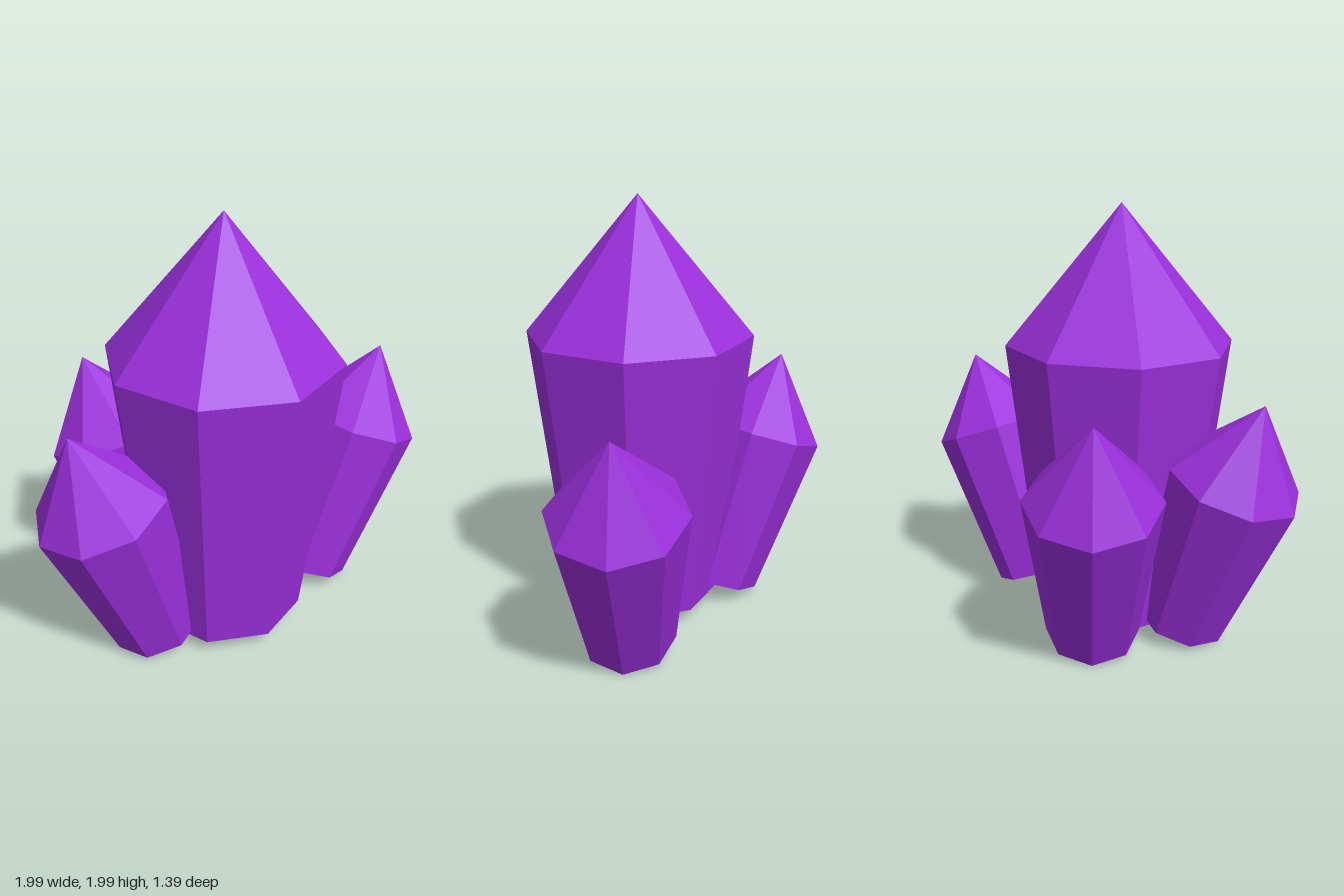
import * as THREE from 'three';

const UP = new THREE.Vector3(0, 1, 0);

// Eight-sided crystal: flat base, flaring shaft and pointed tip
function crystal(name, material, size, base, apex, roll = 0) {
  const { baseRadius, shoulderRadius, shaft, tip } = size;
  const profile = [
    new THREE.Vector2(0, 0),
    new THREE.Vector2(baseRadius, 0),
    new THREE.Vector2(shoulderRadius, shaft),
    new THREE.Vector2(0, shaft + tip),
  ];
  const geometry = new THREE.LatheGeometry(profile, 8);
  geometry.rotateY(roll);
  const mesh = new THREE.Mesh(geometry, material);
  mesh.name = name;
  mesh.position.set(...base);
  // Lean the crystal from its base towards its apex
  const axis = new THREE.Vector3(...apex).sub(mesh.position).normalize();
  mesh.quaternion.setFromUnitVectors(UP, axis);
  return mesh;
}

export function createModel() {
  const group = new THREE.Group();
  group.name = 'crystalCluster';

  const purple = new THREE.MeshStandardMaterial({ color: 0x9b30dc });
  purple.name = 'crystalPurple';
  purple.flatShading = true;

  const large = { baseRadius: 0.375, shoulderRadius: 0.53, shaft: 1.285, tip: 0.632 };
  const small = { baseRadius: 0.217, shoulderRadius: 0.306, shaft: 0.786, tip: 0.387 };

  group.add(
    // Upright centre crystal
    crystal('mainCrystal', purple, large, [-0.08, 0.083, 0.16], [-0.08, 2, 0.16]),
    // Three small crystals leaning outwards
    crystal('leftCrystal', purple, small, [0.425, 0.085, 0.16], [0.85, 1.18, 0.16]),
    crystal('rightCrystal', purple, small, [-0.455, 0.085, 0.16], [-0.835, 1.195, 0.16]),
    crystal('backCrystal', purple, small, [-0.196, 0.083, -0.2], [-0.43, 1.19, -0.508], -0.148),
  );
  return group;
}
